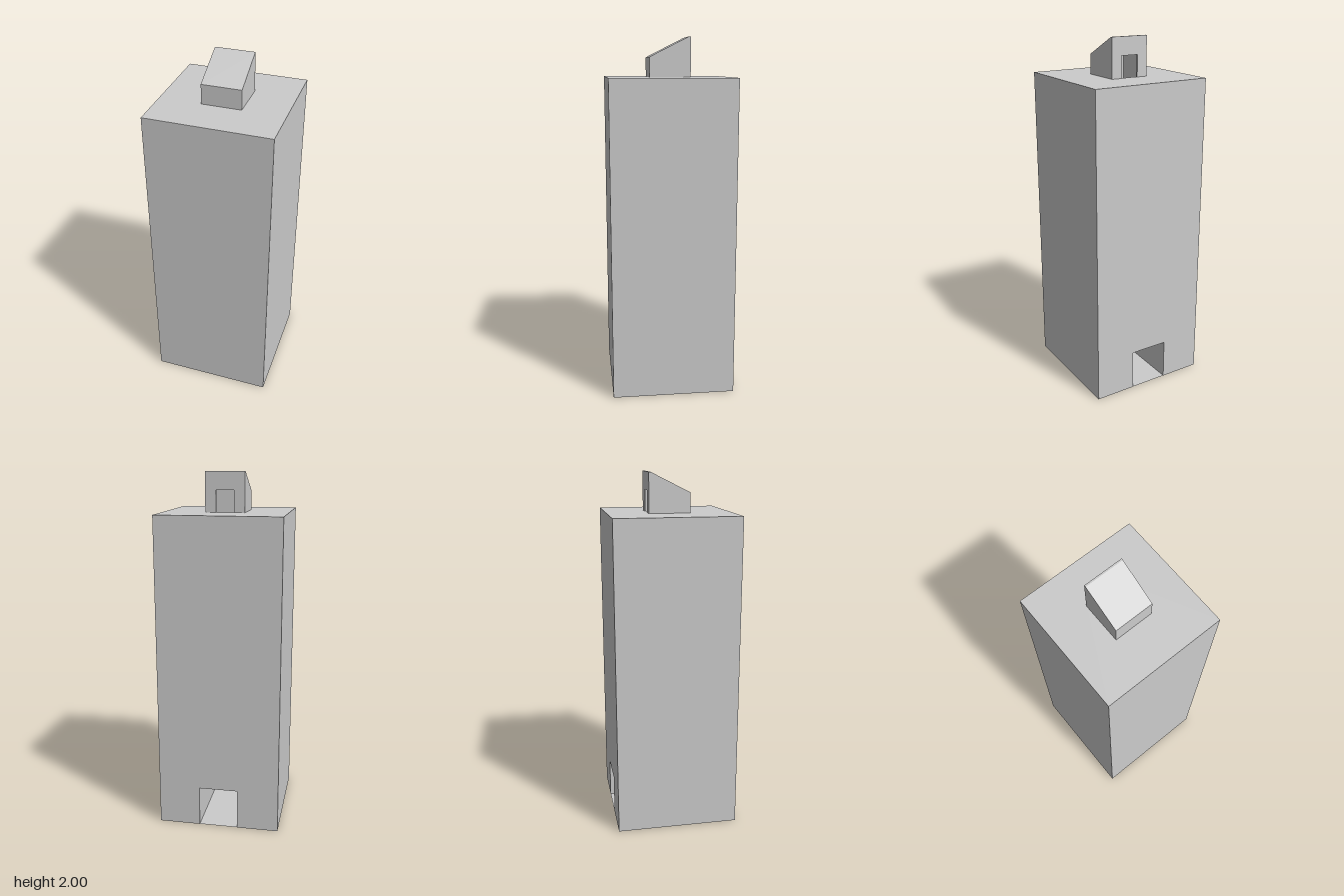
import * as THREE from 'three';

const B = 0.345;       // half width of tower
const H = 1.78;        // roof level
const S = 0.11;        // half width of shaft, corridor and roof house
const DOOR = 0.23;     // ground door height
const EAVE = 1.89, TOP = 2, WALL = 0.01;

const solid = new THREE.MeshStandardMaterial({ color: 0xcccccc, flatShading: true });
const thin = new THREE.MeshStandardMaterial({ color: 0xcccccc, flatShading: true, side: THREE.DoubleSide });

export function createModel() {
  const model = new THREE.Group();

  const add = (name, geometry, material = solid) => {
    const mesh = new THREE.Mesh(geometry, material);
    mesh.name = name;
    model.add(mesh);
    return mesh;
  };

  // Flat four-cornered panel, corners counter-clockwise seen from its front
  const panel = (name, corners, material) => {
    const g = new THREE.BufferGeometry();
    g.setAttribute('position', new THREE.Float32BufferAttribute(corners.flat(), 3));
    g.setIndex([0, 1, 2, 0, 2, 3]);
    g.computeVertexNormals();
    return add(name, g, material);
  };

  const shape = (pts) => new THREE.Shape(pts.map(([x, y]) => new THREE.Vector2(x, y)));

  // Wall outline with a doorway notched into its lower edge
  const doorWall = (half, y0, y1, doorHalf, doorH) => shape([
    [-half, y0], [-doorHalf, y0], [-doorHalf, y0 + doorH], [doorHalf, y0 + doorH],
    [doorHalf, y0], [half, y0], [half, y1], [-half, y1],
  ]);

  // Tower walls
  panel('frontWall', [[-B, 0, B], [B, 0, B], [B, H, B], [-B, H, B]]);
  panel('leftWall', [[B, 0, B], [B, 0, -B], [B, H, -B], [B, H, B]]);
  panel('rightWall', [[-B, 0, -B], [-B, 0, B], [-B, H, B], [-B, H, -B]]);
  add('backWall', new THREE.ShapeGeometry(doorWall(B, 0, H, S, DOOR))
    .rotateY(Math.PI).translate(0, 0, -B));
  panel('base', [[-B, 0, -B], [B, 0, -B], [B, 0, B], [-B, 0, B]]);

  // Flat roof, open over the shaft
  const roof = shape([[-B, -B], [B, -B], [B, B], [-B, B]]);
  roof.holes.push(shape([[-S, -S], [-S, S], [S, S], [S, -S]]));
  add('towerRoof', new THREE.ShapeGeometry(roof).rotateX(-Math.PI / 2).translate(0, H, 0));

  // Entrance corridor leading to the shaft
  panel('corridorFloor', [[-S, 0.001, S], [S, 0.001, S], [S, 0.001, -B], [-S, 0.001, -B]]);
  panel('corridorCeiling', [[-S, DOOR, -B], [S, DOOR, -B], [S, DOOR, -S], [-S, DOOR, -S]]);
  panel('corridorLeftWall', [[S, 0, -B], [S, 0, -S], [S, DOOR, -S], [S, DOOR, -B]]);
  panel('corridorRightWall', [[-S, 0, -S], [-S, 0, -B], [-S, DOOR, -B], [-S, DOOR, -S]]);

  // Shaft up to the roof house
  panel('shaftLeftWall', [[S, 0, -S], [S, 0, S], [S, H, S], [S, H, -S]]);
  panel('shaftRightWall', [[-S, 0, S], [-S, 0, -S], [-S, H, -S], [-S, H, S]]);
  panel('shaftFrontWall', [[S, 0, S], [-S, 0, S], [-S, H, S], [S, H, S]]);
  panel('shaftBackWall', [[-S, DOOR, -S], [S, DOOR, -S], [S, H, -S], [-S, H, -S]]);

  // Roof house: thin walls and a roof rising to the back
  panel('houseFrontWall', [[-S, H, S], [S, H, S], [S, EAVE, S], [-S, EAVE, S]], thin);
  panel('houseLeftWall', [[S, H, S], [S, H, -S], [S, TOP, -S], [S, EAVE, S]], thin);
  panel('houseRightWall', [[-S, H, -S], [-S, H, S], [-S, EAVE, S], [-S, TOP, -S]], thin);
  panel('houseRoof', [[-S, EAVE, S], [S, EAVE, S], [S, TOP, -S], [-S, TOP, -S]], thin);
  add('houseBackWall', new THREE.ExtrudeGeometry(doorWall(S, H, TOP, 0.05, 0.12),
    { depth: WALL, bevelEnabled: false }).translate(0, 0, -S - WALL));

  return model;
}
